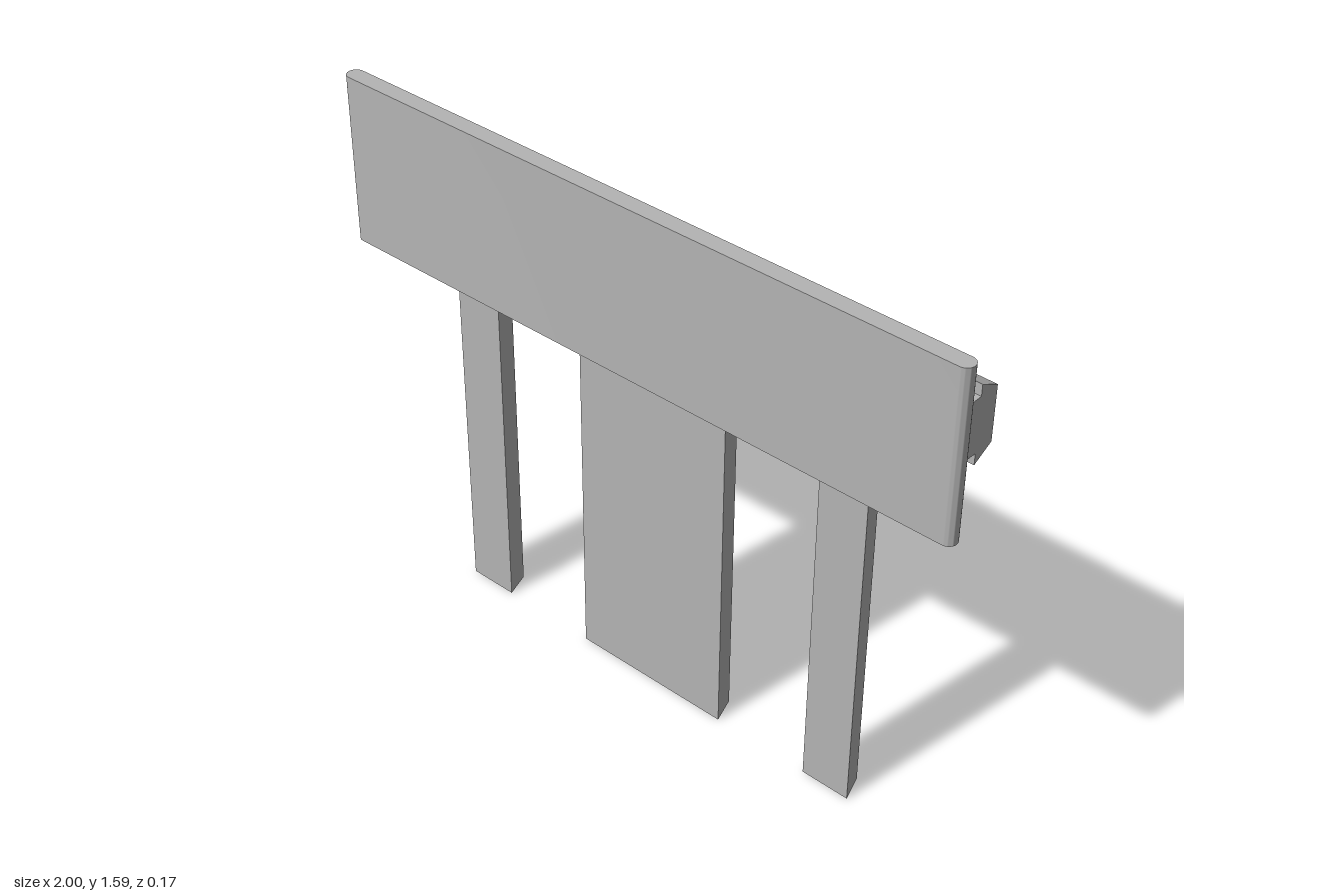
import * as THREE from 'three';
import { toCreasedNormals } from 'three/addons/utils/BufferGeometryUtils.js';

const grey = new THREE.MeshStandardMaterial({ color: 0xb4b4b4 });
grey.name = 'grey';

// Plan outline given as [x, z] points
const plan = (pts) => new THREE.Shape(pts.map(([x, z]) => new THREE.Vector2(x, -z)));

// Raise a plan outline from y0 to y1
function raise(shape, y0, y1, curveSegments = 12) {
  const g = new THREE.ExtrudeGeometry(shape, { depth: y1 - y0, bevelEnabled: false, curveSegments });
  g.rotateX(-Math.PI / 2);
  g.translate(0, y0, 0);
  return g;
}

function add(parent, name, geometry) {
  const m = new THREE.Mesh(geometry, grey);
  m.name = name;
  parent.add(m);
  return m;
}

const PANEL_BACK = 0.034, POST_FRONT = -0.008, POST_BACK = -0.084;
const BRACKET_Y = 1.085, POST_TOP = 1.197;

// Tapered plan of a post: wide at the front, narrower at the back
const taper = (w) => [
  [-w, POST_FRONT], [w, POST_FRONT], [w - 0.025, POST_BACK], [-w + 0.025, POST_BACK],
];

// Top of a post, reaching forward to the panel
const head = (w) => plan([[-w, PANEL_BACK], [w, PANEL_BACK], ...taper(w).slice(1), [-w, POST_FRONT]]);

export function createModel() {
  const model = new THREE.Group();
  model.name = 'wallPanelStand';

  // Wide front panel with rounded ends
  const r = 0.025;
  const outline = new THREE.Shape();
  outline.absarc(1 - r, 0, r, -Math.PI / 2, Math.PI / 2);
  outline.absarc(-1 + r, 0, r, Math.PI / 2, Math.PI * 1.5);
  outline.closePath();
  const panel = toCreasedNormals(raise(outline, BRACKET_Y, 1.585), 0.6);
  add(model, 'frontPanel', panel).position.z = PANEL_BACK + r;

  // Rear rail with sloped flanges
  const profile = [
    [PANEL_BACK, 1.29], [-0.018, 1.29], [-0.018, 1.257], [-0.081, 1.29],
    [-0.081, 1.45], [-0.018, 1.483], [-0.018, 1.45], [PANEL_BACK, 1.45],
  ];
  const rail = new THREE.ExtrudeGeometry(
    new THREE.Shape(profile.map(([z, y]) => new THREE.Vector2(-z, y))),
    { depth: 1.95, bevelEnabled: false });
  rail.rotateY(Math.PI / 2);
  rail.translate(-0.975, 0, 0);
  add(model, 'rearRail', rail);

  // Side posts
  for (const side of [-1, 1]) {
    const post = new THREE.Group();
    post.name = side > 0 ? 'leftPost' : 'rightPost';
    post.position.x = side * 0.625;
    add(post, 'postShaft', raise(plan(taper(0.075)), 0, BRACKET_Y));
    add(post, 'postHead', raise(head(0.075), BRACKET_Y, POST_TOP));
    model.add(post);
  }

  // Central column with a recess for the vent
  const column = new THREE.Group();
  column.name = 'centralColumn';
  const w = 0.25, v = 0.125, depth = 0.015, y0 = 0.065, y1 = 1.005;
  const full = plan(taper(w));
  const recessed = plan([
    ...taper(w).slice(0, 3),
    [v, POST_BACK], [v, POST_BACK + depth], [-v, POST_BACK + depth], [-v, POST_BACK],
    taper(w)[3],
  ]);
  add(column, 'columnBase', raise(full, 0, y0));
  add(column, 'columnShaft', raise(recessed, y0, y1));
  add(column, 'columnNeck', raise(full, y1, BRACKET_Y));
  add(column, 'columnHead', raise(head(w), BRACKET_Y, POST_TOP));

  // Vent fins, leaving evenly spaced slots between them
  const slots = 38, pitch = (y1 - y0) / (slots - 0.5);
  for (let i = 0; i < slots - 1; i++) {
    const fin = add(column, 'ventFin', new THREE.BoxGeometry(2 * v, pitch / 2, depth));
    fin.position.set(0, y0 + pitch * (i + 0.75), POST_BACK + depth / 2);
  }
  model.add(column);

  return model;
}
